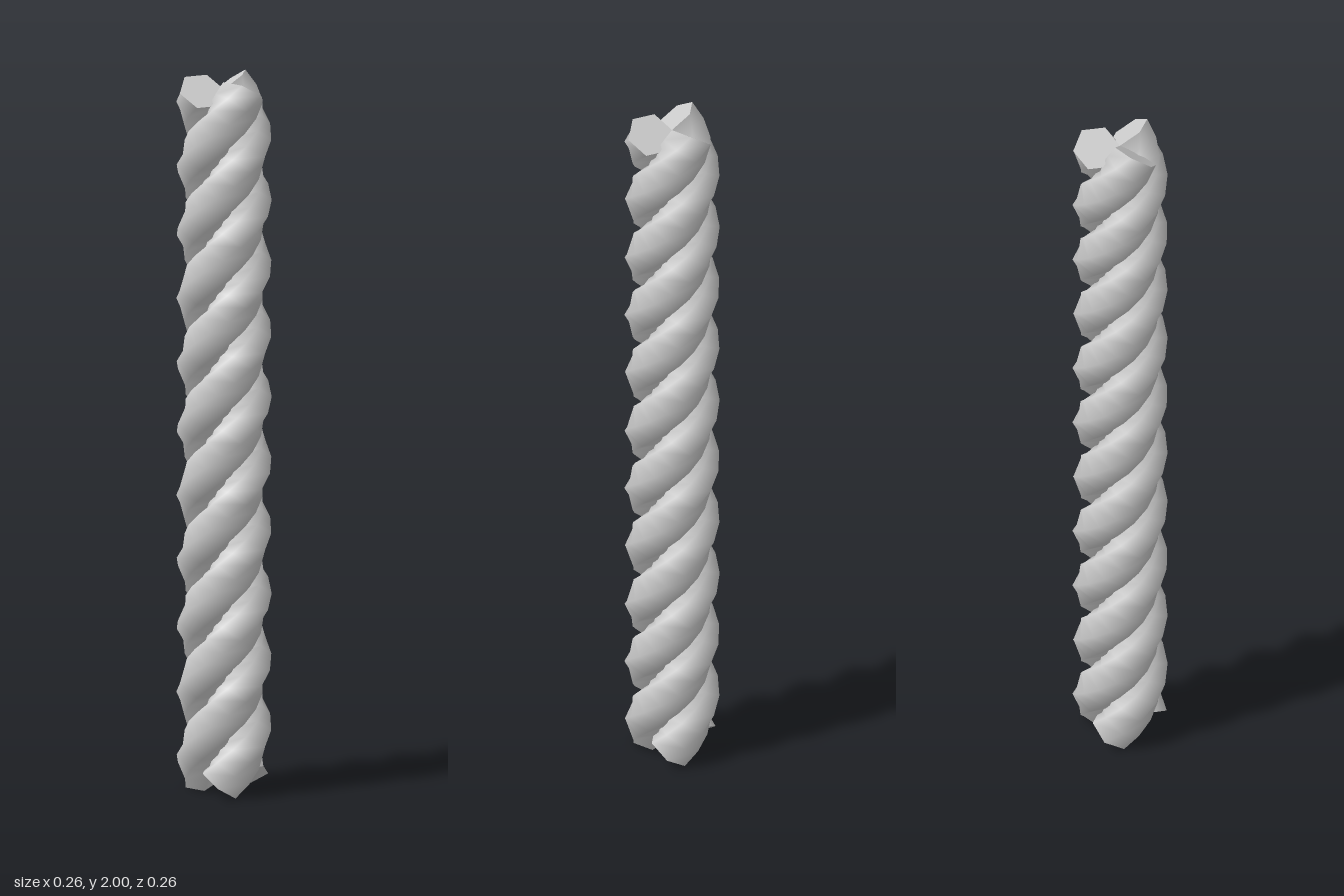
import * as THREE from 'three';

const HELIX_R = 0.065;   // distance of each strand from the rope axis
const STRAND_R = 0.065;  // circumradius of the six-sided strand
const TURNS = 3.5;
const Y0 = 0.034, Y1 = 1.966;
const TOP_ANGLE = THREE.MathUtils.degToRad(74);

// Wrap a straight six-sided cylinder around the axis, keeping one ridge facing outward
function strandGeometry(phase) {
  const height = Y1 - Y0;
  const geo = new THREE.CylinderGeometry(STRAND_R, STRAND_R, height, 6, 56);
  const pos = geo.attributes.position, nor = geo.attributes.normal;
  const sweep = -TURNS * Math.PI * 2;
  const frame = new THREE.Matrix4(), v = new THREE.Vector3();
  for (let i = 0; i < pos.count; i++) {
    const t = pos.getY(i) / height + 0.5;
    const a = TOP_ANGLE + phase + sweep * (t - 1);
    const c = Math.cos(a), s = Math.sin(a);
    const outward = new THREE.Vector3(c, 0, s);
    const along = new THREE.Vector3(-s * sweep * HELIX_R, height, c * sweep * HELIX_R).normalize();
    const side = new THREE.Vector3().crossVectors(along, outward);
    frame.makeBasis(side, along, outward);
    frame.setPosition(c * HELIX_R, Y0 + t * height, s * HELIX_R);
    v.set(pos.getX(i), 0, pos.getZ(i)).applyMatrix4(frame);
    pos.setXYZ(i, v.x, v.y, v.z);
    v.fromBufferAttribute(nor, i).transformDirection(frame);
    nor.setXYZ(i, v.x, v.y, v.z);
  }
  return geo;
}

export function createModel() {
  const rope = new THREE.Group();
  rope.name = 'twistedRope';
  const material = new THREE.MeshStandardMaterial({ color: 0xcccccc });
  // Three identical strands, a third of a turn apart
  for (let i = 0; i < 3; i++) {
    const strand = new THREE.Mesh(strandGeometry((i * Math.PI * 2) / 3), material);
    strand.name = `strand${i + 1}`;
    rope.add(strand);
  }
  return rope;
}
